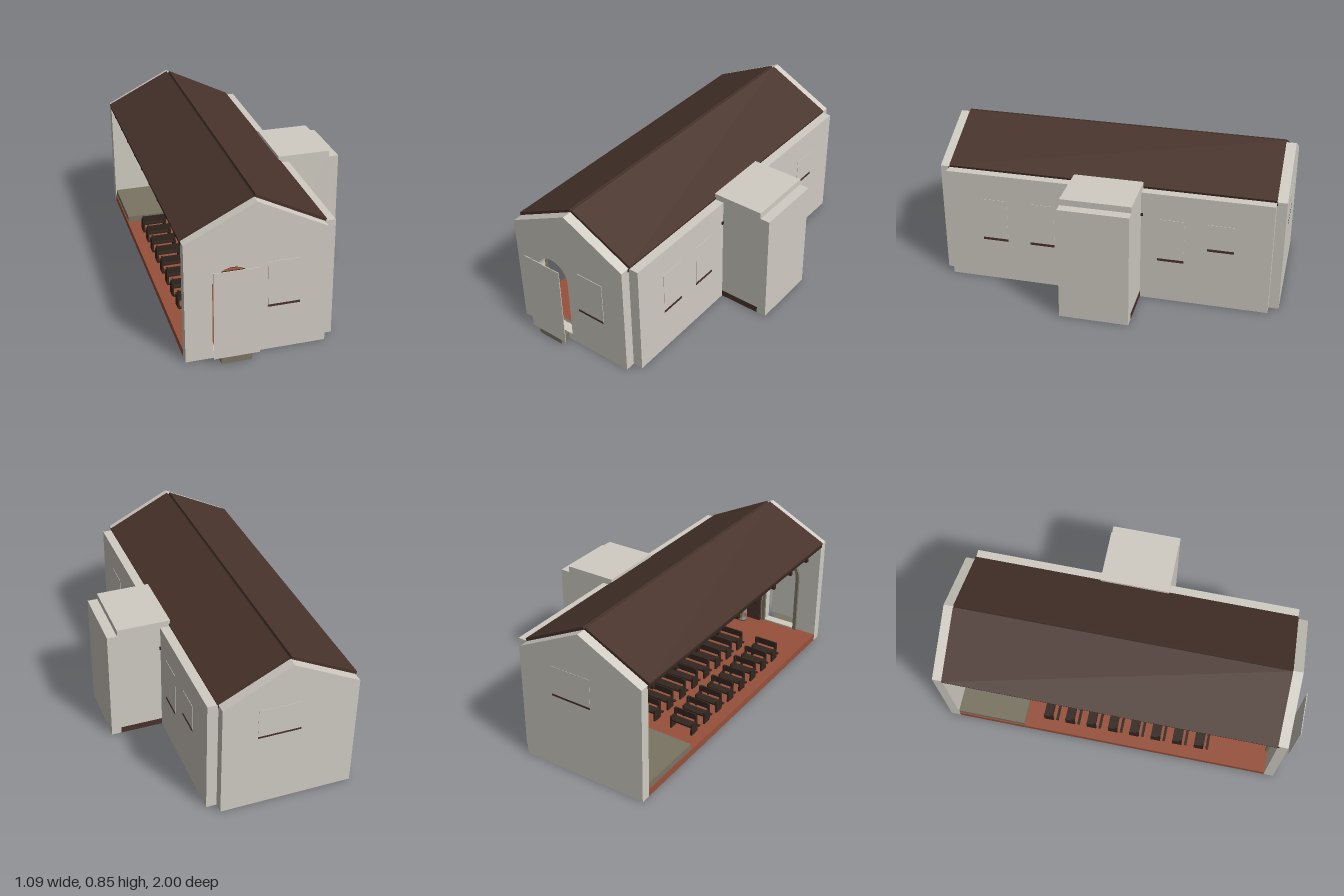
import * as THREE from 'three';

const mat = (name, color, side = THREE.FrontSide) => {
  const m = new THREE.MeshStandardMaterial({ color, side });
  m.name = name;
  return m;
};

export function createModel() {
  const root = new THREE.Group();
  root.name = 'chapel';
  const plaster = mat('plaster', 0xd0ccc3);
  const roofBrown = mat('roofBrown', 0x48332b);
  const timber = mat('darkTimber', 0x33261f);
  const sillBrown = mat('sillBrown', 0x4a332d);
  const clay = mat('clayFloor', 0x96503a);
  const stone = mat('stone', 0x7a7462);

  const add = (name, geo, m, parent = root) => {
    const mesh = new THREE.Mesh(geo, m);
    mesh.name = name;
    parent.add(mesh);
    return mesh;
  };
  // Box given by its limits on each axis
  const box = (name, m, x0, x1, y0, y1, z0, z1, parent) => {
    const mesh = add(name, new THREE.BoxGeometry(x1 - x0, y1 - y0, z1 - z0), m, parent);
    mesh.position.set((x0 + x1) / 2, (y0 + y1) / 2, (z0 + z1) / 2);
    return mesh;
  };
  // Round-headed opening
  const arch = (Type, u0, u1, y0, y1) => {
    const r = (u1 - u0) / 2, p = new Type();
    p.moveTo(u0, y0);
    p.lineTo(u1, y0);
    p.lineTo(u1, y1 - r);
    p.absarc((u0 + u1) / 2, y1 - r, r, 0, Math.PI, false);
    p.lineTo(u0, y0);
    return p;
  };
  const extrude = (shape, depth) =>
    new THREE.ExtrudeGeometry(shape, { depth, bevelEnabled: false, curveSegments: 12 });
  const polygon = pts => new THREE.Shape(pts.map(p => new THREE.Vector2(...p)));

  const L = -0.54, R = 0.19, OUT = 0.247, RIDGE = -0.175, EAVE = 0.655, TOP = 0.838;
  const BACK = -0.943, FRONT = 0.873, FLOOR = 0.04;
  const gable = [[L, 0], [R, 0], [R, EAVE], [RIDGE, TOP], [L, EAVE]];

  // Gable walls with door and window openings
  const frontShape = polygon(gable);
  frontShape.holes.push(arch(THREE.Path, -0.4, -0.19, FLOOR, 0.505));
  frontShape.holes.push(arch(THREE.Path, -0.105, 0.04, 0.262, 0.49));
  add('frontGable', extrude(frontShape, 0.055), plaster).position.z = FRONT;
  const backShape = polygon(gable);
  backShape.holes.push(arch(THREE.Path, -0.225, -0.01, 0.45, 0.595));
  add('backGable', extrude(backShape, 0.055), plaster).position.z = -0.998;

  // Window and door covers with sills
  box('doorCover', plaster, -0.412, -0.177, FLOOR, 0.524, 0.994, 0.998);
  box('frontWindowCover', plaster, -0.115, 0.05, 0.255, 0.505, 0.928, 0.931);
  box('frontSill', sillBrown, -0.117, 0.05, 0.252, 0.263, 0.92, 0.934);
  box('backWindowCover', plaster, -0.235, 0, 0.44, 0.605, -0.9995, -0.997);
  box('backSill', sillBrown, -0.235, 0, 0.432, 0.443, -1, -0.99);
  box('doorStep', stone, -0.372, -0.217, 0, FLOOR, 0.928, 0.99);

  // Long side wall, drawn along -z and extruded outward
  const side = polygon([[-FRONT, 0], [-BACK, 0], [-BACK, EAVE], [-FRONT, EAVE]]);
  const windows = [[0.53, 0.675, 0.25], [0.26, 0.4, 0.25], [-0.47, -0.325, 0.25], [-0.74, -0.595, 0.345]];
  side.holes.push(arch(THREE.Path, -0.12, 0.19, FLOOR, 0.52));
  for (const [z0, z1, y] of windows) {
    side.holes.push(arch(THREE.Path, -z1 + 0.01, -z0 - 0.01, y + 0.013, 0.495));
    box('sideWindowCover', plaster, OUT - 0.001, OUT + 0.002, y + 0.005, 0.505, z0, z1);
    box('sideSill', sillBrown, OUT - 0.01, OUT + 0.004, y, y + 0.014, z0, z1);
  }
  const sideGeo = extrude(side, OUT - R);
  sideGeo.rotateY(Math.PI / 2);
  add('sideWall', sideGeo, plaster).position.x = R;
  for (const z of [0.163, -0.235]) box('wallBracket', timber, OUT - 0.005, OUT + 0.007, 0.518, 0.533, z - 0.007, z + 0.007);

  // Side annex
  const annex = new THREE.Group();
  annex.name = 'annex';
  root.add(annex);
  box('annexFrontWall', plaster, OUT, 0.485, 0.001, 0.69, 0.125, 0.155, annex);
  box('annexBackWall', plaster, OUT, 0.485, 0.001, 0.69, -0.23, -0.2, annex);
  box('annexOuterWall', plaster, 0.485, 0.54, 0, EAVE, -0.23, 0.155, annex);
  box('annexRoof', plaster, R, 0.485, EAVE, 0.69, -0.23, 0.155, annex);
  box('annexFloor', sillBrown, OUT, 0.485, 0, 0.037, -0.2305, 0.1555, annex);

  // Floor and raised platform
  box('floor', clay, L, R, 0, FLOOR, BACK, FRONT);
  box('platform', stone, L + 0.005, R, FLOOR, 0.075, BACK, -0.55);
  box('altarBase', stone, -0.25, -0.1, 0.075, 0.17, -0.77, -0.71);
  box('altarTop', stone, -0.28, -0.07, 0.17, 0.185, -0.785, -0.695);

  // Roof slopes
  const t = 0.02;
  for (const s of [-1, 1]) {
    const slope = polygon([[s * 0.003, TOP - 0.002], [s * 0.37, 0.652], [s * 0.374, 0.668], [s * 0.008, TOP - 0.008 + t]]);
    add('roofSlope', extrude(slope, FRONT - BACK), roofBrown).position.set(RIDGE, 0, BACK);
    box('eavesBeam', timber, RIDGE + s * 0.36 - 0.007, RIDGE + s * 0.36 + 0.007, 0.637, 0.655, BACK - 0.004, FRONT + 0.008);
  }
  box('ridgeBeam', timber, RIDGE - 0.008, RIDGE + 0.008, TOP - 0.025, TOP + 0.002, BACK, FRONT);

  // Trusses with hanging lamps
  const lampProfile = [[0, 0], [0.018, 0.004], [0.025, 0.03], [0.012, 0.045], [0, 0.05]].map(p => new THREE.Vector2(...p));
  for (let i = 0; i < 9; i++) {
    const z = -0.88 + i * 0.2;
    for (const s of [-1, 1]) {
      const rafter = polygon([[0, TOP - 0.005], [s * 0.36, EAVE], [s * 0.36, EAVE - 0.022], [0, TOP - 0.028]]);
      add('rafter', extrude(rafter, 0.02), timber).position.set(RIDGE, 0, z - 0.01);
      box('rafterFoot', timber, RIDGE + s * 0.34 - 0.015, RIDGE + s * 0.34 + 0.015, 0.6, 0.645, z - 0.01, z + 0.01);
    }
    if (i % 2) continue;
    box('tieBeam', timber, L + 0.01, R, 0.635, 0.655, z - 0.01, z + 0.01);
    if (i === 0) continue;
    add('lamp', new THREE.LatheGeometry(lampProfile, 12), timber).position.set(RIDGE, 0.29, z);
    box('lampRod', timber, RIDGE - 0.003, RIDGE + 0.003, 0.335, 0.64, z - 0.003, z + 0.003);
  }

  // Two blocks of pews
  for (let i = 0; i < 8; i++) {
    const z = -0.42 + i * 0.127;
    for (const [x0, x1] of [[-0.475, -0.335], [-0.24, 0.07]]) {
      const pew = new THREE.Group();
      pew.name = 'pew';
      root.add(pew);
      box('seat', timber, x0, x1, 0.085, 0.095, z - 0.025, z + 0.025, pew);
      box('backRest', timber, x0, x1, 0.11, 0.145, z + 0.023, z + 0.031, pew);
      box('kneeler', timber, x0, x1, 0.055, 0.062, z + 0.045, z + 0.06, pew);
      for (const x of [x0, x1 - 0.01]) {
        box('pewEnd', timber, x, x + 0.01, FLOOR, 0.11, z - 0.025, z + 0.031, pew);
        box('pewPost', timber, x, x + 0.01, 0.11, 0.145, z + 0.015, z + 0.031, pew);
      }
    }
  }

  // Door surround, open leaf and corner cabinet
  const ring = arch(THREE.Shape, -0.415, -0.175, FLOOR, 0.52);
  ring.holes.push(arch(THREE.Path, -0.395, -0.195, FLOOR + 0.001, 0.5));
  add('doorSurround', extrude(ring, 0.015), stone).position.z = FRONT - 0.015;
  box('doorLeaf', sillBrown, -0.172, -0.08, FLOOR, 0.4, 0.84, 0.857);
  box('cornerCabinet', sillBrown, 0.07, R, FLOOR, 0.25, 0.72, FRONT);

  // Font on a pedestal
  const font = [[0, 0], [0.03, 0], [0.03, 0.012], [0.01, 0.02], [0.009, 0.08], [0.03, 0.1], [0.034, 0.125], [0.026, 0.125], [0, 0.108]]
    .map(p => new THREE.Vector2(...p));
  add('font', new THREE.LatheGeometry(font, 16), stone).position.set(-0.07, FLOOR, 0.8);

  // Wind mirrored extrusions outward
  root.traverse(o => {
    if (o.name === 'rafter' || o.name === 'roofSlope') o.material.side = THREE.DoubleSide;
  });
  return root;
}
